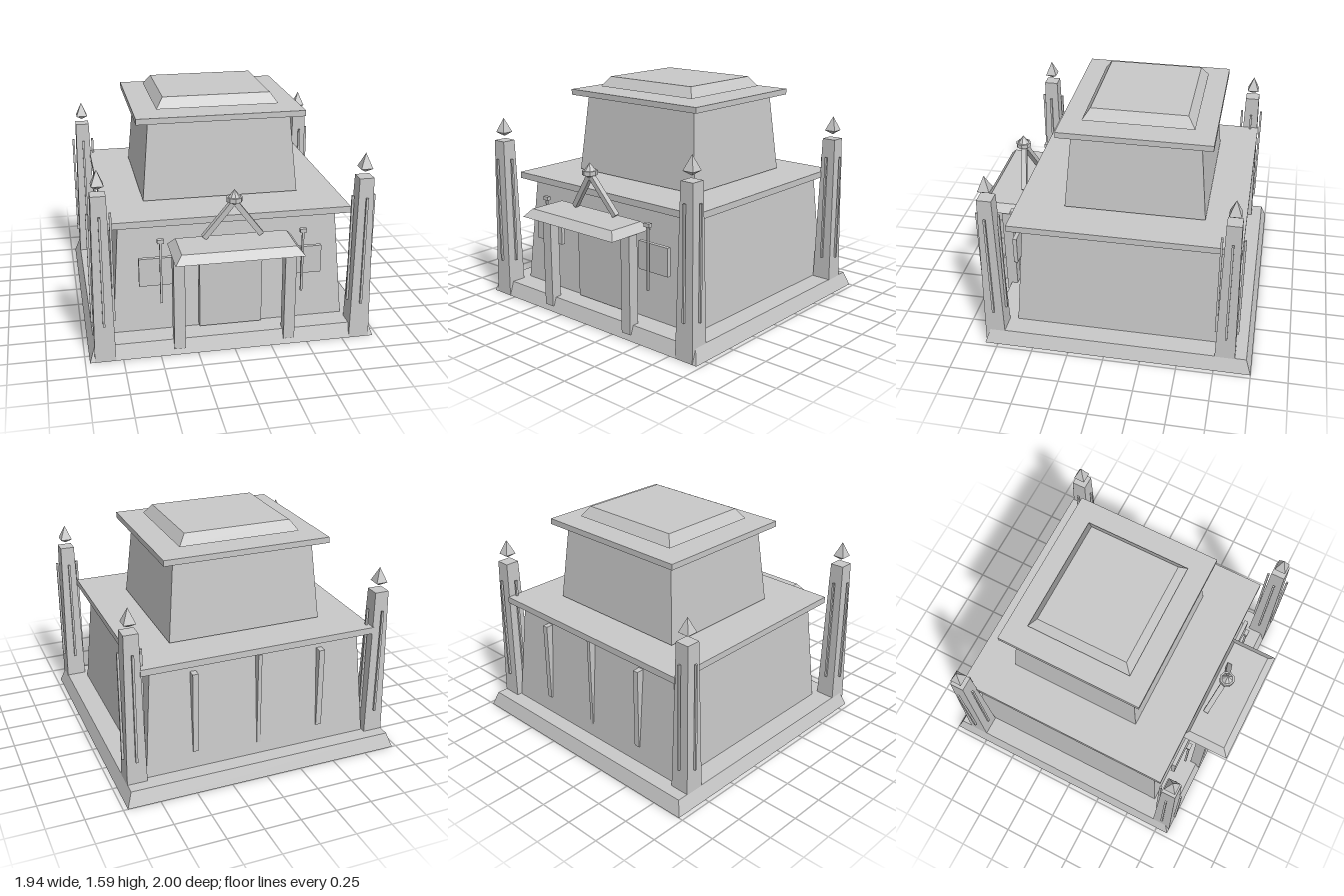
import * as THREE from 'three';

const stone = new THREE.MeshStandardMaterial({ color: 0xc8c8c8, flatShading: true, side: THREE.DoubleSide });
stone.name = 'grey stone';

function add(parent, name, geometry) {
  const mesh = new THREE.Mesh(geometry, stone);
  mesh.name = name;
  parent.add(mesh);
  return mesh;
}

// Box given by its limits on each axis
function block(parent, name, x0, x1, y0, y1, z0, z1) {
  const mesh = add(parent, name, new THREE.BoxGeometry(x1 - x0, y1 - y0, z1 - z0));
  mesh.position.set((x0 + x1) / 2, (y0 + y1) / 2, (z0 + z1) / 2);
  return mesh;
}

// Box whose top is drawn in by `inset` on every side; optionally without a bottom
function frustum(parent, name, halfX, halfZ, inset, y0, y1, zc, open = false) {
  const geo = new THREE.BoxGeometry(halfX * 2, y1 - y0, halfZ * 2);
  const p = geo.attributes.position;
  for (let i = 0; i < p.count; i++) {
    if (p.getY(i) > 0) {
      p.setX(i, Math.sign(p.getX(i)) * (halfX - inset));
      p.setZ(i, Math.sign(p.getZ(i)) * (halfZ - inset));
    }
  }
  if (open) {
    const index = Array.from(geo.index.array);
    index.splice(18, 6);
    geo.setIndex(index);
    geo.clearGroups();
  }
  geo.computeVertexNormals();
  const mesh = add(parent, name, geo);
  mesh.position.set(0, (y0 + y1) / 2, zc);
  return mesh;
}

// Tapered corner post with a slim rib on each face and a pointed finial
function cornerPost(x, z) {
  const post = new THREE.Group();
  post.name = 'cornerPost';
  frustum(post, 'postShaft', 0.07, 0.07, 0.021, 0, 1.15, 0);
  for (let i = 0; i < 4; i++) {
    const a = i * Math.PI / 2;
    const rib = add(post, 'postRib', new THREE.BoxGeometry(0.015, 0.76, 0.015));
    rib.position.set(Math.sin(a) * 0.073, 0.64, Math.cos(a) * 0.073);
    rib.rotation.y = a;
  }
  const r = 0.04 * Math.SQRT2;
  const tip = add(post, 'finialTip', new THREE.CylinderGeometry(0, r, 0.1, 4, 1, true));
  tip.position.y = 1.26;
  const under = add(post, 'finialBase', new THREE.CylinderGeometry(r, 0, 0.03, 4, 1, true));
  under.position.y = 1.195;
  tip.rotation.y = under.rotation.y = Math.PI / 4;
  post.position.set(x, 0, z);
  return post;
}

// Square bar between two points
function bar(parent, name, from, to, size) {
  const dir = to.clone().sub(from);
  const mesh = add(parent, name, new THREE.BoxGeometry(size, dir.length(), size));
  mesh.position.copy(from).add(to).multiplyScalar(0.5);
  mesh.quaternion.setFromUnitVectors(new THREE.Vector3(0, 1, 0), dir.normalize());
}

export function createModel() {
  const model = new THREE.Group();
  model.name = 'shrine';

  // Hollow plinth and the two storeys
  frustum(model, 'plinth', 0.97, 0.92, 0.035, 0, 0.1, -0.08, true);
  frustum(model, 'lowerStorey', 0.795, 0.75, 0.058, 0.1, 0.86, -0.105);
  block(model, 'lowerRoofSlab', -0.82, 0.82, 0.86, 0.905, -0.88, 0.675);
  frustum(model, 'upperStorey', 0.537, 0.477, 0.05, 0.915, 1.46, -0.135);
  block(model, 'upperRoofSlab', -0.575, 0.575, 1.46, 1.5, -0.645, 0.378);
  frustum(model, 'roofCap', 0.42, 0.371, 0.05, 1.52, 1.59, -0.136);

  // Corner posts
  for (const x of [-0.868, 0.868]) {
    for (const z of [-0.82, 0.77]) model.add(cornerPost(x, z));
  }

  // Porch
  block(model, 'door', -0.213, 0.213, 0.115, 0.75, 0.64, 0.69);
  frustum(model, 'porchCanopy', 0.42, 0.18, 0.047, 0.72, 0.775, 0.82);

  for (const s of [-1, 1]) {
    const column = block(model, 'porchColumn', -0.0375, 0.0375, 0.04, 0.72, 0.76, 0.836);
    column.position.x = s * 0.372;

    // Wall panel and hanging rod beside the porch
    const panel = block(model, 'wallPanel', -0.125, 0.125, 0.455, 0.65, 0.675, 0.703);
    panel.position.x = s * 0.493;
    const rod = block(model, 'rod', -0.007, 0.007, 0.34, 0.77, 0.726, 0.74);
    const rodCap = block(model, 'rodCap', -0.022, 0.022, 0.77, 0.796, 0.719, 0.747);
    rod.position.x = rodCap.position.x = s * 0.477;

    // Leaning bar of the gable ornament
    bar(model, 'gableBar', new THREE.Vector3(s * 0.19, 0.785, 0.727), new THREE.Vector3(0, 1.04, 0.765), 0.036);

    // Outer battens on the back wall
    const batten = block(model, 'backBatten', -0.02, 0.02, 0.22, 0.79, -0.855, -0.79);
    batten.position.x = s * 0.45;
  }
  block(model, 'backMiddleBatten', -0.013, 0.013, 0.18, 0.84, -0.852, -0.79);

  // Gem at the peak of the gable
  const gem = new THREE.Group();
  gem.name = 'gableGem';
  gem.position.set(0, 1.055, 0.77);
  add(gem, 'gemRing', new THREE.CylinderGeometry(0.053, 0.053, 0.03, 8));
  add(gem, 'gemTop', new THREE.CylinderGeometry(0, 0.04, 0.052, 8)).position.y = 0.041;
  add(gem, 'gemBottom', new THREE.CylinderGeometry(0.036, 0.015, 0.02, 8)).position.y = -0.024;
  model.add(gem);

  return model;
}
